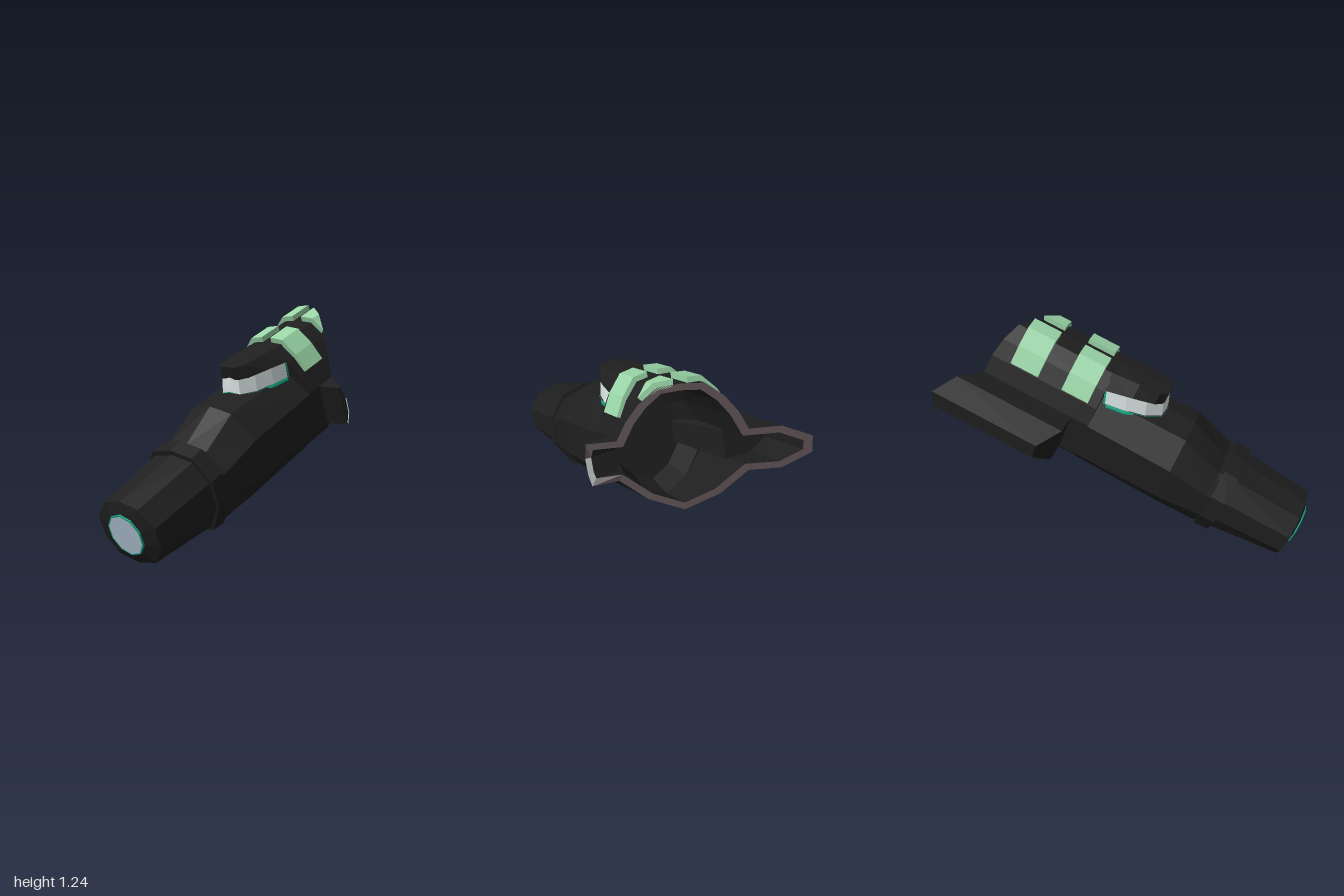
import * as THREE from 'three';

const mat = (name, color) => {
  const m = new THREE.MeshStandardMaterial({ color, flatShading: true, side: THREE.DoubleSide });
  m.name = name;
  return m;
};

// Half outline (top centre to bottom centre) -> closed ring of [x, y, z], clockwise from the front
const mirror = (half) => [...half, ...half.slice(1, -1).reverse().map(([x, y]) => [-x, y])];
const ring = (half, z) => mirror(half).map(([x, y]) => [x, y, z]);

// Skin a list of rings, front to back, with optional end caps
function loft(rings, { capFront = false, capBack = false, closed = true } = {}) {
  const pos = [];
  const n = rings[0].length;
  for (let r = 0; r < rings.length - 1; r++) {
    for (let i = 0; i < (closed ? n : n - 1); i++) {
      const j = (i + 1) % n;
      const a = rings[r][i], b = rings[r][j], c = rings[r + 1][j], d = rings[r + 1][i];
      pos.push(...a, ...b, ...c, ...a, ...c, ...d);
    }
  }
  const cap = (pts) => {
    const flat = pts.map(([x, y]) => new THREE.Vector2(x, y));
    for (const f of THREE.ShapeUtils.triangulateShape(flat, [])) f.forEach((k) => pos.push(...pts[k]));
  };
  if (capFront) cap(rings[0]);
  if (capBack) cap(rings[rings.length - 1]);
  const g = new THREE.BufferGeometry();
  g.setAttribute('position', new THREE.Float32BufferAttribute(pos, 3));
  g.computeVertexNormals();
  return g;
}

export function createModel() {
  const black = mat('black casing', 0x1f1f1f);
  const rimMat = mat('brown grey rim', 0x5a4e50);
  const green = mat('pale green', 0x9ad6a8);
  const teal = mat('teal trim', 0x12a080);
  const glass = mat('blue grey lens', 0xb9cfde);
  const pale = mat('pale visor', 0xdce6e6);

  // Everything is built along z, then tilted nose down
  const tilt = new THREE.Group();
  tilt.name = 'tiltedBody';
  tilt.rotation.x = 0.3576;
  tilt.position.x = 0.05;
  const add = (name, geometry, material) => {
    const m = new THREE.Mesh(geometry, material);
    m.name = name;
    tilt.add(m);
    return m;
  };

  // Barrel
  const lensY = 0.487;
  const lensRing = (r, z) => Array.from({ length: 10 }, (_, i) => {
    const a = Math.PI / 2 - (i * Math.PI) / 5;
    return [r * Math.cos(a), lensY + r * Math.sin(a), z];
  });
  add('barrel', loft([
    lensRing(0.117, 0.837),
    ring([[0, 0.669], [0.12, 0.642], [0.202, 0.55], [0.202, 0.432], [0.13, 0.335], [0, 0.305]], 0.816),
    ring([[0, 0.705], [0.135, 0.68], [0.218, 0.57], [0.222, 0.43], [0.14, 0.29], [0, 0.262]], 0.39),
    ring([[0, 0.7], [0.14, 0.68], [0.238, 0.57], [0.238, 0.42], [0.145, 0.28], [0, 0.25]], 0.3),
    ring([[0, 0.805], [0.14, 0.775], [0.263, 0.63], [0.263, 0.42], [0.15, 0.28], [0, 0.229]], 0.06),
    ring([[0, 0.8], [0.14, 0.775], [0.265, 0.645], [0.265, 0.42], [0.15, 0.295], [0, 0.224]], -0.45),
  ]), black);

  // Collar around the barrel
  const collar = [[0, 0.73], [0.14, 0.702], [0.237, 0.58], [0.24, 0.425], [0.15, 0.272], [0, 0.243]];
  const collarIn = collar.map(([x, y]) => [x * 0.85, 0.487 + (y - 0.487) * 0.85]);
  add('collar', loft([ring(collarIn, 0.412), ring(collar, 0.412),
    ring(collar.map(([x, y]) => [x, 0.487 + (y - 0.487) * 1.04]), 0.326), ring(collarIn, 0.326)]), black);

  // Front lens in a thin raised trim
  const lens = add('frontLens', new THREE.CircleGeometry(0.112, 10, Math.PI / 2), glass);
  lens.position.set(0, lensY, 0.844);
  add('frontLensTrim', loft([lensRing(0.111, 0.845), lensRing(0.118, 0.845), lensRing(0.119, 0.834)]), teal);

  // Rear shell with side wings, sliced off by a slanted plane
  const outline = mirror([[0, 0.93], [0.095, 0.92], [0.17, 0.84], [0.225, 0.75], [0.265, 0.65],
    [0.395, 0.648], [0.515, 0.577], [0.515, 0.487], [0.395, 0.417], [0.265, 0.42], [0.15, 0.3], [0, 0.222]])
    .map(([x, y]) => [Math.min(x, 0.41), y]);
  const clampX = (x, m) => Math.max(-m, Math.min(m, x));
  const wingFront = (x) => -0.553 - Math.max(0, Math.abs(x) - 0.395) * 0.67;
  const cutZ = (x, y) => Math.min(-0.73 + (x > 0 ? 0.82 : 0.75) * x - 0.25 * y, wingFront(x) - 0.012);
  const onCut = ([x, y]) => [x, y, cutZ(x, y)];
  const outer = outline.map(onCut);
  add('rearShell', loft([
    outline.map(([x, y]) => [clampX(x, 0.265), y, -0.45]),
    outline.map(([x, y]) => [clampX(x, 0.265), y, -0.553]),
    outline.map(([x, y]) => [clampX(x, 0.395), y, -0.553]),
    outline.map(([x, y]) => [x, y, wingFront(x)]),
    outer,
  ], { capFront: true }), black);

  // Rim of the slice: the outline moved inwards
  const inset = outline.map(([x, y], i) => {
    const p = outline[(i + outline.length - 1) % outline.length];
    const q = outline[(i + 1) % outline.length];
    const u = new THREE.Vector2(x - p[0], y - p[1]).normalize();
    const v = new THREE.Vector2(q[0] - x, q[1] - y).normalize();
    const k = 0.036 / Math.max(0.5, 1 + u.dot(v));
    return [x + (u.y + v.y) * k, y - (u.x + v.x) * k];
  });
  const inner = inset.map(onCut);
  add('rearRim', loft([outer, inner]), rimMat);

  // Hollow inside, with a shallow pocket in the long wing
  const pocketZ = (x, y) => (x < -0.25 ? -0.88 : Math.max(-0.6, cutZ(x, y)));
  add('cavity', loft([
    inner,
    inset.map(([x, y]) => [x, y, pocketZ(x, y)]),
    inset.map(([x, y]) => [clampX(x, 0.23), y, pocketZ(x, y)]),
    inset.map(([x, y]) => [clampX(x, 0.23) * 0.6, 0.55 + (y - 0.55) * 0.6, -0.25]),
  ], { capBack: true }), black);

  // Pale strip on the short wing's rim
  const lift = ([x, y, z]) => [x + 0.004, y, z - 0.004];
  add('wingTipStrip', loft([outer.slice(6, 9).map(lift), inner.slice(6, 9).map(lift)], { closed: false }), pale);

  // Hood over the visor
  add('hood', loft([
    ring([[0, 0.943], [0.05, 0.94], [0.06, 0.87], [0, 0.868]], -0.14),
    ring([[0, 0.943], [0.08, 0.938], [0.1, 0.868], [0, 0.855]], -0.18),
    ring([[0, 0.94], [0.09, 0.932], [0.135, 0.86], [0, 0.8]], -0.3),
    ring([[0, 0.933], [0.096, 0.922], [0.165, 0.842], [0, 0.78]], -0.46),
  ], { capFront: true }), black);

  // Wrap-around visor and its trim
  const visorHalf = [[0, 0.802, -0.115, 0.88], [0.062, 0.785, -0.12, 0.88], [0.118, 0.775, -0.2, 0.87],
    [0.148, 0.768, -0.31, 0.862], [0.158, 0.756, -0.425, 0.853]];
  const visor = [...visorHalf.slice(1).reverse().map(([x, ...r]) => [-x, ...r]), ...visorHalf];
  const visorLow = visor.map(([x, y, z]) => [x, y, z]);
  const visorTop = visor.map(([x, , z, top]) => [x * 0.92, top, z - 0.025]);
  add('visor', loft([visorTop, visorLow], { closed: false }), pale);
  const rail = (dy, grow, dz) => visor.map(([x, y, z]) => [x * grow, y + dy, z + dz]);
  add('visorTrim', loft([rail(0.006, 1.03, 0.004), rail(-0.006, 1.07, 0.01), rail(-0.02, 1.07, 0.01)],
    { closed: false }), teal);
  for (const e of [0, visor.length - 1]) {
    const edge = ([x, y, z], d) => [x * 1.03, y, z + d];
    add('visorEndTrim', loft([[edge(visorTop[e], 0.002), edge(visorTop[e], -0.01)],
      [edge(visorLow[e], 0.002), edge(visorLow[e], -0.01)]], { closed: false }), teal);
  }

  // Green bands, two on each side; the rear left one is shortened by the slice
  const full = [[0.03, 0.957], [0.11, 0.946], [0.185, 0.862], [0.236, 0.768],
    [0.208, 0.755], [0.155, 0.835], [0.09, 0.905], [0.03, 0.915]];
  const short = [[0.03, 0.957], [0.11, 0.946], [0.17, 0.878], [0.145, 0.845], [0.09, 0.905], [0.03, 0.915]];
  const band = (name, section, side, front, back) => {
    const pts = section.map(([x, y]) => [side * x, y]);
    add(name, loft([
      pts.map(([x, y]) => [x, y, front]),
      pts.map(([x, y]) => [x, y, Math.min(front, Math.max(back, cutZ(x, y)))]),
    ], { capFront: true, capBack: true }), green);
  };
  band('frontLeftBand', full, 1, -0.504, -0.664);
  band('frontRightBand', full, -1, -0.504, -0.664);
  band('rearLeftBand', short, 1, -0.808, -0.974);
  band('rearRightBand', full, -1, -0.808, -0.974);

  const model = new THREE.Group();
  model.name = 'model';
  model.add(tilt);
  return model;
}
